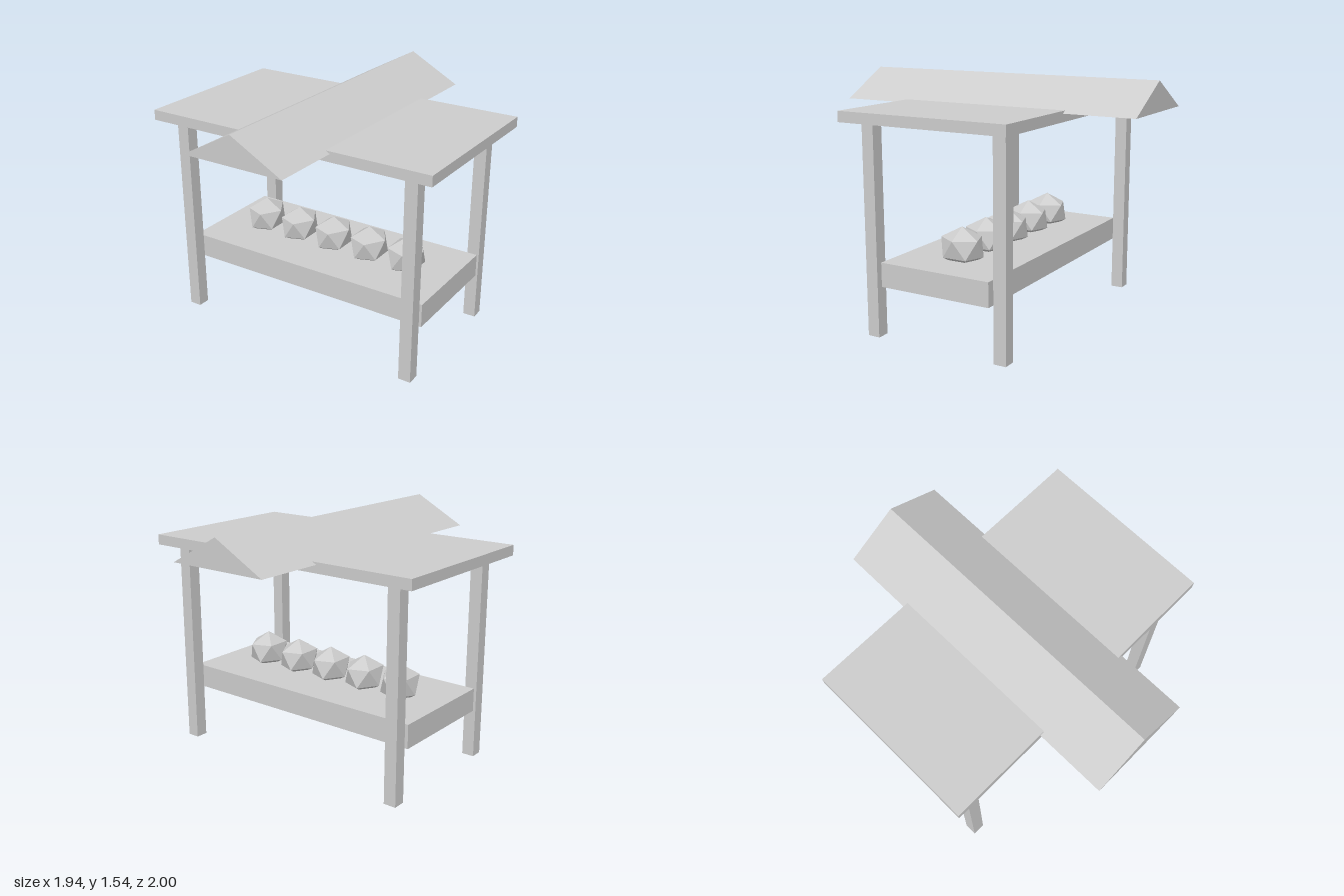
import * as THREE from 'three';

export function createModel() {
  const group = new THREE.Group();
  const grey = new THREE.MeshStandardMaterial({ color: 0xcccccc });
  grey.name = 'plain grey';
  grey.flatShading = true;

  function add(name, geometry, x = 0, y = 0, z = 0) {
    const mesh = new THREE.Mesh(geometry, grey);
    mesh.name = name;
    mesh.position.set(x, y, z);
    group.add(mesh);
  }

  // Four square corner posts
  const post = new THREE.BoxGeometry(0.08, 1.312, 0.08);
  for (const [sx, side] of [[1, 'Left'], [-1, 'Right']]) {
    for (const [sz, end] of [[1, 'front'], [-1, 'back']]) {
      add(`${end}${side}Post`, post, sx * 0.81, 0.656, sz * 0.442);
    }
  }

  // Thick counter between the posts
  add('counter', new THREE.BoxGeometry(1.7, 0.15, 0.74), 0, 0.4, 0);

  // Flat canopy slab
  add('canopy', new THREE.BoxGeometry(1.94, 0.065, 1.11), 0, 1.343, 0);

  // Triangular ridge running front to back over the canopy
  const gable = new THREE.Shape([
    new THREE.Vector2(-0.335, 1.36),
    new THREE.Vector2(0.335, 1.36),
    new THREE.Vector2(0, 1.542),
  ]);
  const ridge = new THREE.ExtrudeGeometry(gable, { depth: 2, bevelEnabled: false });
  ridge.translate(0, 0, -1);
  add('roofRidge', ridge);

  // Row of faceted goods, each turned to stand on a vertex and sunk into the counter
  const goods = new THREE.IcosahedronGeometry(1, 0);
  goods.rotateZ(-Math.atan(2 / (1 + Math.sqrt(5))));
  goods.scale(0.127, 0.125, 0.15);
  for (let i = 0; i < 5; i++) {
    add(`goods${i + 1}`, goods, (i - 2) * 0.27, 0.55, 0);
  }

  return group;
}
